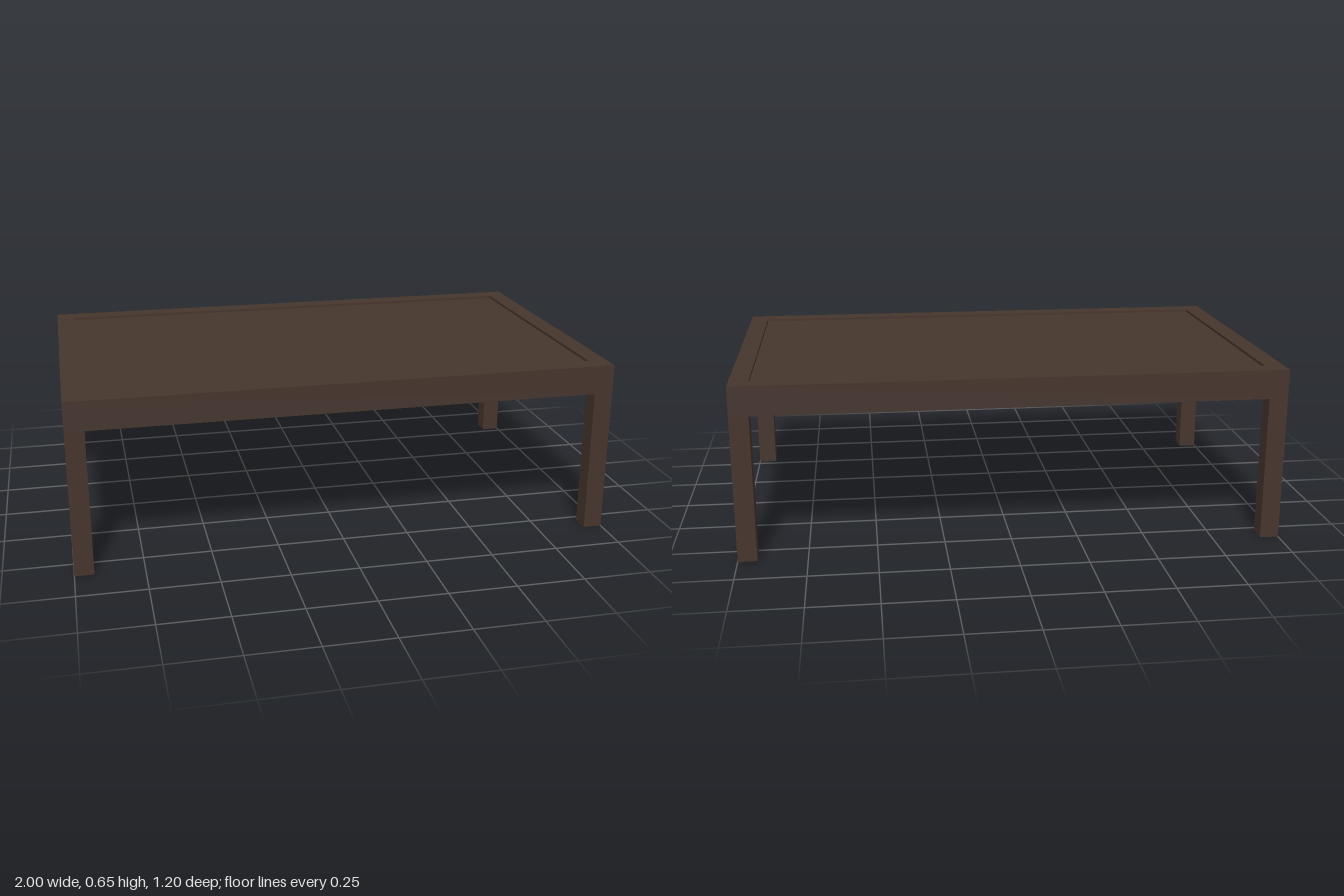
import * as THREE from 'three';

const W = 2, D = 1.195, H = 0.648; // overall size
const LEG = 0.07;                  // leg and rim width
const UNDER = 0.54;                // underside of the table top
const RECESS = 0.01;               // panel sits this far below the rim

export function createModel() {
  const model = new THREE.Group();
  model.name = 'coffeeTable';
  const darkWood = new THREE.MeshStandardMaterial({ color: 0x46352d });
  darkWood.name = 'dark wood';

  const add = (name, geometry, x, y, z) => {
    const mesh = new THREE.Mesh(geometry, darkWood);
    mesh.name = name;
    mesh.position.set(x, y, z);
    model.add(mesh);
  };

  // Rectangular path centred on the origin
  const rect = (path, w, d) => path
    .moveTo(-w / 2, -d / 2).lineTo(w / 2, -d / 2)
    .lineTo(w / 2, d / 2).lineTo(-w / 2, d / 2).closePath();

  // Rim framing the table top
  const innerW = W - 2 * LEG, innerD = D - 2 * LEG;
  const outline = new THREE.Shape(), hole = new THREE.Path();
  rect(outline, W, D);
  rect(hole, innerW, innerD);
  outline.holes.push(hole);
  const rim = new THREE.ExtrudeGeometry(outline, { depth: H - UNDER, bevelEnabled: false });
  rim.rotateX(-Math.PI / 2);
  add('topRim', rim, 0, UNDER, 0);

  // Recessed centre panel, flush with the rim underneath
  const panelH = H - UNDER - RECESS;
  add('topPanel', new THREE.BoxGeometry(innerW, panelH, innerD), 0, UNDER + panelH / 2, 0);

  // Square legs flush with the corners
  const leg = new THREE.BoxGeometry(LEG, UNDER, LEG);
  for (const [sx, side] of [[1, 'Left'], [-1, 'Right']]) {
    for (const [sz, end] of [[1, 'front'], [-1, 'back']]) {
      add(`${end}${side}Leg`, leg, sx * (W - LEG) / 2, UNDER / 2, sz * (D - LEG) / 2);
    }
  }
  return model;
}
